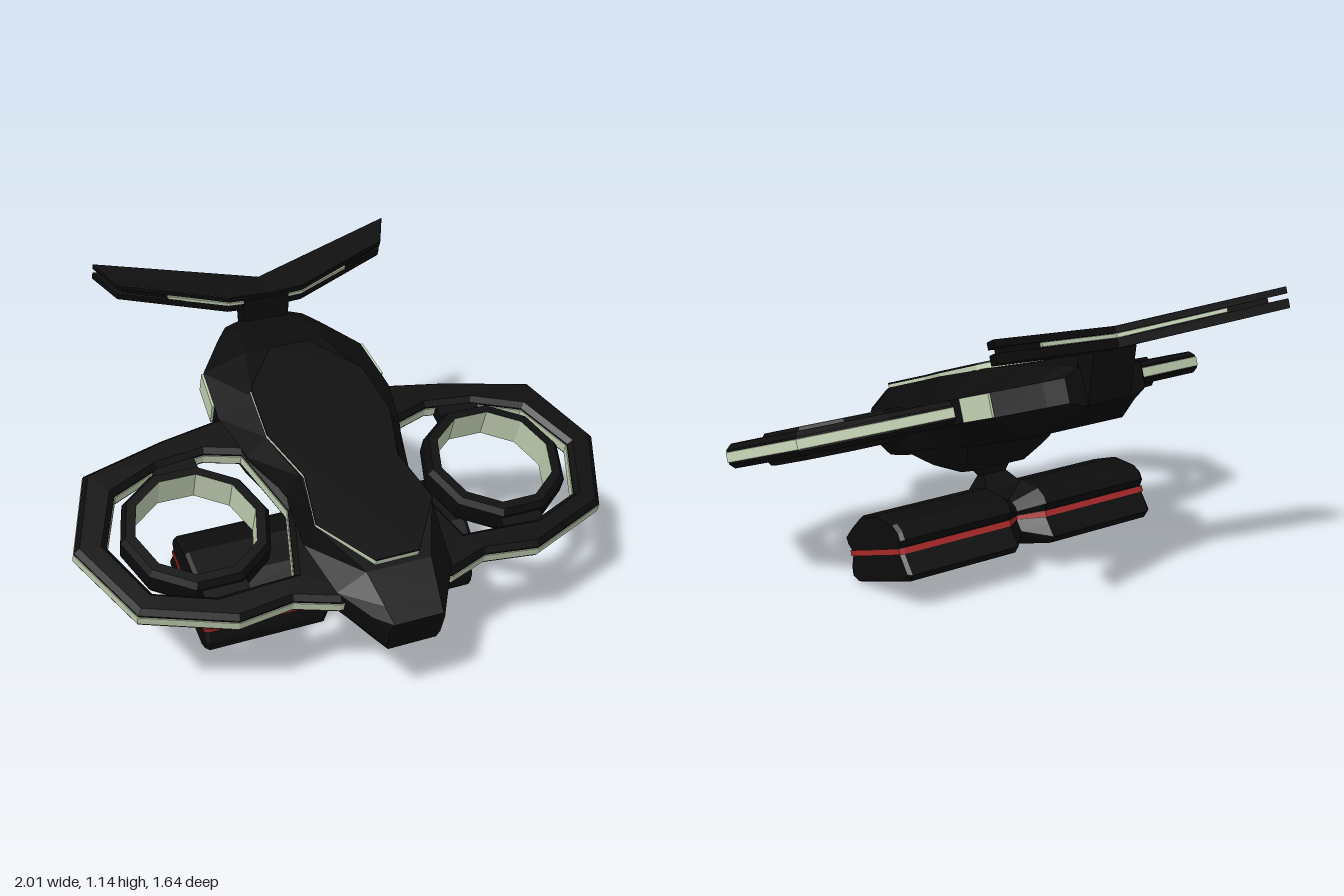
import * as THREE from 'three';

const paint = (color) => new THREE.MeshStandardMaterial({ color, flatShading: true, side: THREE.DoubleSide });
const dark = paint(0x0c0c0c), pale = paint(0xc4d2b4), red = paint(0xa82a2a);

// Skin a list of equal-length sections and close both ends.
function loft(sections) {
  const pos = [], n = sections[0].length;
  const tri = (...p) => p.forEach((v) => pos.push(...v));
  for (let s = 0; s < sections.length - 1; s++) {
    const a = sections[s], b = sections[s + 1];
    for (let i = 0; i < n; i++) {
      const j = (i + 1) % n;
      tri(a[i], a[j], b[i]);
      tri(a[j], b[j], b[i]);
    }
  }
  const cap = (ring, flip) => {
    const mid = [0, 1, 2].map((k) => ring.reduce((t, p) => t + p[k], 0) / n);
    ring.forEach((p, i) => {
      const q = ring[(i + 1) % n];
      flip ? tri(mid, q, p) : tri(mid, p, q);
    });
  };
  cap(sections[0], true);
  cap(sections[sections.length - 1], false);
  const g = new THREE.BufferGeometry();
  g.setAttribute('position', new THREE.Float32BufferAttribute(pos, 3));
  g.computeVertexNormals();
  return g;
}

// Flat plate from an (x, z) outline, rising from y0 by h, edges chamfered by b.
// "grow" pushes the outline outwards so a trim band stands proud.
function plate(points, y0, h, { b = 0, grow = 0, hole = null } = {}) {
  const vec = (list) => list.map(([x, z]) => new THREE.Vector2(x, -z));
  const shape = new THREE.Shape(vec(points));
  if (hole) shape.holes.push(new THREE.Path(vec(hole)));
  const t = b || 0.001;
  const g = new THREE.ExtrudeGeometry(shape, {
    depth: h - 2 * t, bevelEnabled: true, bevelSegments: 1,
    bevelThickness: t, bevelSize: b || 0.001, bevelOffset: grow - (b || 0.001),
  });
  g.rotateX(-Math.PI / 2);
  g.translate(0, y0 + t, 0);
  return g;
}

// Complete a half outline across the centre line.
const mirror = (half) => [...half, ...half.slice().reverse().map(([x, z]) => [-x, z])];

export function createModel() {
  const model = new THREE.Group();
  const craft = new THREE.Group();
  craft.name = 'aircraft';
  craft.position.y = 0.6;
  craft.rotation.x = 0.349; // nose-down attitude
  model.add(craft);
  const add = (name, geometry, material, parent = craft) => {
    const m = new THREE.Mesh(geometry, material);
    m.name = name;
    parent.add(m);
    return m;
  };

  // Hull: z, roof half width, roof y, side half width, floor half width, floor y
  const hull = [
    [-0.64, 0.10, 0.11, 0.16, 0.10, -0.02],
    [-0.58, 0.13, 0.125, 0.21, 0.13, -0.046],
    [-0.43, 0.16, 0.155, 0.32, 0.20, -0.092],
    [-0.20, 0.22, 0.172, 0.34, 0.22, -0.092],
    [0.0, 0.24, 0.175, 0.30, 0.21, -0.092],
    [0.20, 0.19, 0.175, 0.23, 0.19, -0.092],
    [0.42, 0.22, 0.175, 0.25, 0.20, -0.092],
    [0.64, 0.12, 0.165, 0.215, 0.15, -0.085],
    [0.764, 0.10, 0.13, 0.14, 0.11, -0.052],
    [0.832, 0.09, 0.111, 0.10, 0.09, -0.028],
  ];
  add('hull', loft(hull.map(([z, rw, ry, sw, fw, fy]) => [
    [fw, fy, z], [sw, 0, z], [sw, 0.085, z], [rw, ry, z],
    [-rw, ry, z], [-sw, 0.085, z], [-sw, 0, z], [-fw, fy, z],
  ])), dark);

  // Raised roof deck with a pale trim line
  const deck = mirror([[0.08, 0.62], [0.22, 0.42], [0.18, 0.21], [0.24, 0], [0.22, -0.22], [0.08, -0.40]]);
  add('deckTrim', plate(deck, 0.14, 0.047), pale);
  add('roofDeck', plate(deck, 0.185, 0.008), dark);

  // Belly pod and pylon, built downwards as rectangles
  const block = (levels) => loft(levels.map(([y, w, z0, z1]) => [
    [-w, y, z0], [-w, y, z1], [w, y, z1], [w, y, z0],
  ]).reverse());
  add('bellyPod', block([[-0.08, 0.21, -0.05, 0.40], [-0.145, 0.17, 0.05, 0.29], [-0.19, 0.11, 0.10, 0.20]]), dark);
  add('pylon', block([[-0.18, 0.07, 0.13, 0.20], [-0.215, 0.05, 0.145, 0.19], [-0.27, 0.08, 0.10, 0.235], [-0.33, 0.09, 0.09, 0.25]]), dark);

  // Cargo pods: one (y, z) section swept across, pinched at the middle
  const podSection = [
    [-0.263, 0.10], [-0.263, 0.235], [-0.30, 0.32], [-0.335, 0.385], [-0.36, 0.38], [-0.385, 0.36],
    [-0.411, 0.36], [-0.45, 0.385], [-0.485, 0.39], [-0.507, 0.355], [-0.507, -0.01], [-0.485, -0.04],
    [-0.44, -0.025], [-0.411, -0.015], [-0.385, -0.015], [-0.36, -0.037], [-0.33, -0.03], [-0.30, 0],
  ];
  const sweep = (section, stations) => loft(stations.map(([x, k]) =>
    section.map(([y, z]) => [x, -0.385 + (y + 0.385) * k, 0.175 + (z - 0.175) * k])));
  add('cargoPods', sweep(podSection,
    [[-0.545, 0.95], [-0.53, 1], [-0.08, 1], [0, 0.6], [0.08, 1], [0.53, 1], [0.545, 0.95]]), dark);
  add('cargoStripe', sweep([[-0.387, -0.018], [-0.387, 0.364], [-0.409, 0.364], [-0.409, -0.018]],
    [[-0.548, 0.97], [-0.53, 1], [-0.08, 1], [0, 0.61], [0.08, 1], [0.53, 1], [0.548, 0.97]]), red);

  // Wing frames with ducted rotor rings
  const outer = [[0.15, -0.21], [0.34, -0.21], [0.57, -0.165], [0.88, -0.08], [1.0, 0.23], [0.87, 0.53],
    [0.56, 0.645], [0.36, 0.62], [0.21, 0.67], [0.12, 0.67]];
  const inner = [[0.24, 0.25], [0.32, 0.52], [0.44, 0.525], [0.60, 0.535], [0.80, 0.46], [0.89, 0.24],
    [0.80, 0.03], [0.62, -0.05], [0.44, -0.07], [0.31, -0.03]];
  const ringProfile = (pts) => new THREE.LatheGeometry(pts.map(([r, y]) => new THREE.Vector2(r, y)), 10);
  for (const [side, s] of [['left', 1], ['right', -1]]) {
    const wing = new THREE.Group();
    wing.name = side + 'Wing';
    craft.add(wing);
    const flip = (list) => list.map(([x, z]) => [x * s, z]);
    add('wingFrame', plate(flip(outer), 0, 0.085, { b: 0.018, hole: flip(inner) }), dark, wing);
    add('wingTrim', plate(flip(outer), 0.024, 0.036, { grow: 0.003, hole: flip(inner) }), pale, wing);

    const duct = new THREE.Group();
    duct.name = 'rotorDuct';
    duct.position.set(0.575 * s, 0, 0.24);
    duct.rotation.y = Math.PI / 10;
    wing.add(duct);
    add('ductShell', ringProfile([[0.216, -0.02], [0.25, -0.02], [0.267, 0.01], [0.267, 0.075], [0.25, 0.097], [0.216, 0.097]]), dark, duct);
    add('ductLining', ringProfile([[0.216, 0.097], [0.216, -0.02]]), pale, duct);

    // Mounts joining duct and frame
    for (const z of [-0.04, 0.515]) {
      add('ductMount', new THREE.BoxGeometry(0.16, 0.05, 0.07), dark, wing).position.set(0.56 * s, 0.042, z);
    }

    // Pale panel on the hull flank
    const panel = add(side + 'FlankPanel', new THREE.BoxGeometry(0.014, 0.084, 0.165), pale);
    panel.position.set(0.329 * s, 0.043, -0.345);
    panel.rotation.y = 0.087 * s;
  }

  // Tail mast leaning back from the hull
  const mast = [[-0.02, -0.62], [-0.02, -0.64], [0.145, -0.725], [0.20, -0.70], [0.20, -0.645], [0.10, -0.62]];
  add('tailMast', loft([-0.09, 0.09].map((x) => mast.map(([y, z]) => [x, y, z]).reverse())), dark);

  // Swept double tail fin with slight dihedral
  const fin = (x1, zFront, x2, zBack) => [[0, -0.65], [0.15, -0.655], [x1, zFront], [x2, zBack], [0, -0.745]];
  const finPlate = (half, y, h, grow = 0) => {
    const outline = [...half, ...half.slice(1, -1).reverse().map(([x, z]) => [-x, z])];
    const g = plate(outline, y, h, { grow });
    const p = g.attributes.position;
    for (let i = 0; i < p.count; i++) p.setY(i, p.getY(i) + Math.abs(p.getX(i)) * 0.035);
    g.computeVertexNormals();
    return g;
  };
  const tip = fin(0.54, -0.807, 0.60, -0.935);
  add('lowerTailFin', finPlate(tip, 0.145, 0.033), dark);
  add('upperTailFin', finPlate(tip, 0.195, 0.024), dark);
  add('tailFinCore', finPlate(fin(0.52, -0.81, 0.54, -0.90), 0.176, 0.021), dark);
  add('tailFinTrim', finPlate(fin(0.36, -0.735, 0.38, -0.865), 0.179, 0.015, 0.003), pale);

  return model;
}
